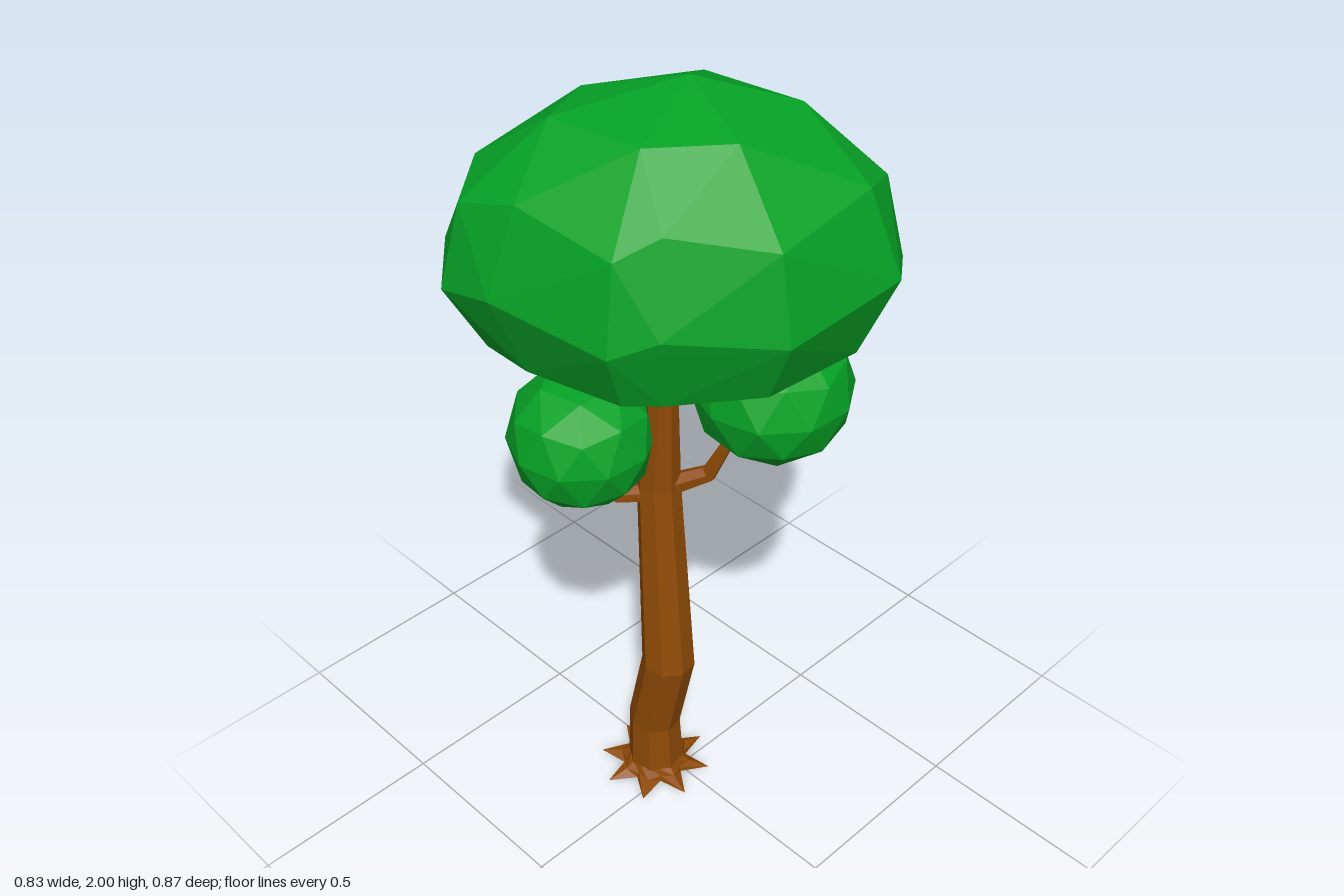
import * as THREE from 'three';
import { ConvexGeometry } from 'three/addons/geometries/ConvexGeometry.js';

const bark = new THREE.MeshStandardMaterial({ color: 0x8f4a06, flatShading: true });
const leaf = new THREE.MeshStandardMaterial({ color: 0x06a226, flatShading: true });
const deg = THREE.MathUtils.degToRad;

function part(name, geometry, material) {
  const mesh = new THREE.Mesh(geometry, material);
  mesh.name = name;
  return mesh;
}

// Closed faceted skin through rings; each section is [x, y, z, radius, spikeRadius?]
function loft(name, sections, sides, level = false) {
  const up = new THREE.Vector3(0, 1, 0);
  const centres = sections.map(s => new THREE.Vector3(s[0], s[1], s[2]));
  const last = centres.length - 1;
  const rings = sections.map((s, i) => {
    const dir = centres[Math.min(i + 1, last)].clone().sub(centres[Math.max(i - 1, 0)]).normalize();
    const q = new THREE.Quaternion();
    if (!level) q.setFromUnitVectors(up, dir);
    return Array.from({ length: sides }, (_, k) => {
      const a = (k / sides) * Math.PI * 2 + 0.2;
      const r = k % 2 ? s[3] : s[4] ?? s[3];
      return new THREE.Vector3(r * Math.cos(a), 0, r * Math.sin(a)).applyQuaternion(q).add(centres[i]);
    });
  });
  const pts = [];
  for (let k = 0; k < sides; k++) {
    const n = (k + 1) % sides;
    for (let i = 0; i < last; i++) {
      const [a, b, c, d] = [rings[i][k], rings[i][n], rings[i + 1][n], rings[i + 1][k]];
      pts.push(a, d, c, a, c, b);
    }
    pts.push(centres[0], rings[0][k], rings[0][n]);
    pts.push(centres[last], rings[last][n], rings[last][k]);
  }
  const geometry = new THREE.BufferGeometry().setFromPoints(pts);
  geometry.computeVertexNormals();
  return part(name, geometry, bark);
}

// Flat-bottomed dome: the plan outline repeated at several scales, wrapped in facets
function canopy() {
  const outline = [
    [0.09, -0.435], [0.31, -0.38], [0.415, -0.24], [0.395, 0.075], [0.24, 0.29], [0.165, 0.365],
    [-0.12, 0.43], [-0.285, 0.425], [-0.4, 0.32], [-0.415, 0.14], [-0.38, -0.04], [-0.18, -0.32],
  ];
  const pts = [new THREE.Vector3(0, 2, -0.03)];
  outline.forEach(([x, z], i) => {
    const odd = i % 2;
    const add = (s, y) => pts.push(new THREE.Vector3(x * s, y, z * s));
    const dome = s => add(s, 1.59 + 0.41 * Math.sqrt(1 - s * s));
    add(0.83, 1.418);
    add(1, odd ? 1.57 : 1.61);
    dome(odd ? 0.9 : 0.84);
    if (odd) dome(0.52);
  });
  return part('canopy', new ConvexGeometry(pts), leaf);
}

// Low-poly leaf ball: a pole-up icosphere stretched along a heading, blunted below and above
function foliage(name, { centre, size, spin, heading, floor, ceiling }) {
  const g = new THREE.IcosahedronGeometry(1, 1);
  g.rotateZ(-Math.atan(2 / (1 + Math.sqrt(5))));
  g.rotateY(deg(spin - heading)).scale(...size).rotateY(deg(heading)).translate(...centre);
  const p = g.attributes.position;
  for (let i = 0; i < p.count; i++) p.setY(i, THREE.MathUtils.clamp(p.getY(i), floor, ceiling));
  g.computeVertexNormals();
  return part(name, g, leaf);
}

export function createModel() {
  const tree = new THREE.Group();
  tree.name = 'tree';

  // Bent, tapering trunk
  tree.add(loft('trunk', [
    [-0.06, 0.01, 0.03, 0.076],
    [-0.062, 0.18, 0.032, 0.069],
    [-0.006, 0.42, 0.034, 0.069],
    [-0.064, 0.95, 0.006, 0.055],
    [-0.036, 1.42, 0.006, 0.024],
    [-0.03, 1.5, 0.006, 0.02],
  ], 8));

  // Star of roots spreading on the ground
  tree.add(loft('roots', [
    [-0.065, 0, 0.03, 0.085, 0.15],
    [-0.063, 0.015, 0.03, 0.08, 0.095],
    [-0.06, 0.035, 0.03, 0.072],
  ], 16, true));

  // Side branches
  tree.add(loft('leftBranch', [
    [-0.05, 0.945, 0, 0.03],
    [0.03, 0.99, -0.07, 0.022],
    [0.072, 1.09, -0.09, 0.015],
    [0.1, 1.16, -0.11, 0.011],
  ], 6));
  tree.add(loft('rightBranch', [
    [-0.065, 0.93, 0.02, 0.028],
    [-0.125, 0.925, 0.09, 0.02],
    [-0.145, 0.965, 0.11, 0.015],
    [-0.16, 1.03, 0.13, 0.011],
  ], 6));

  // Leaf crowns
  tree.add(canopy());
  tree.add(foliage('leftFoliage', {
    centre: [0.14, 1.253, -0.163], size: [0.203, 0.18, 0.192], spin: -75, heading: -45, floor: 1.095, ceiling: 1.41,
  }));
  tree.add(foliage('rightFoliage', {
    centre: [-0.188, 1.1, 0.138], size: [0.195, 0.178, 0.18], spin: -40, heading: -45, floor: 0.937, ceiling: 1.265,
  }));
  return tree;
}
